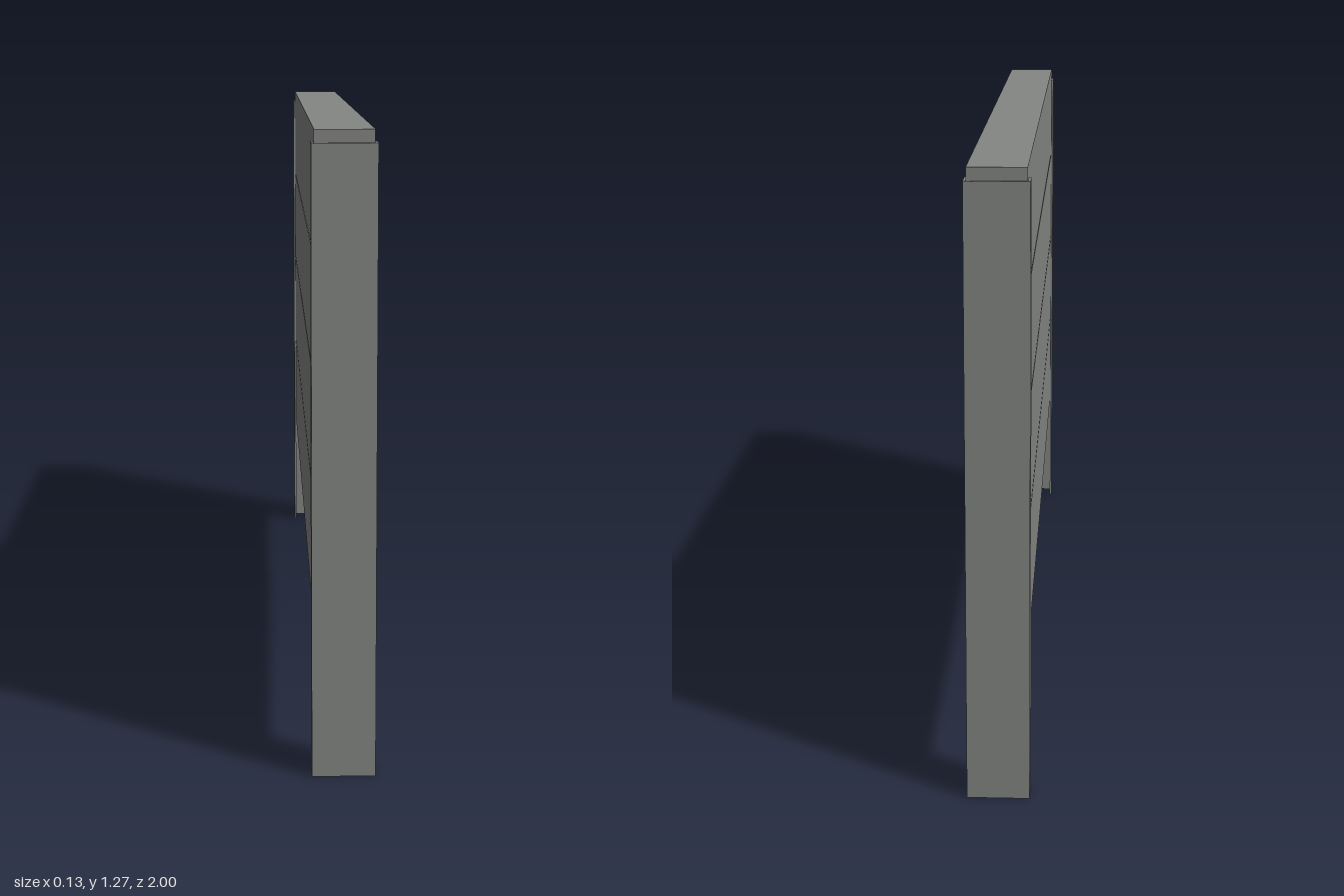
import * as THREE from 'three';

export function createModel() {
  const model = new THREE.Group();
  model.name = 'fencePanel';
  const grey = new THREE.MeshStandardMaterial({ color: 0x848683 });
  grey.name = 'concrete grey';

  // Horizontal planks, separated by narrow open gaps
  const bottom = 0.30, top = 1.27, gap = 0.007, count = 4;
  const height = (top - bottom - gap * (count - 1)) / count;
  for (let i = 0; i < count; i++) {
    const plank = new THREE.Mesh(new THREE.BoxGeometry(0.115, height, 1.982), grey);
    plank.name = `plank${i + 1}`;
    plank.position.y = bottom + height / 2 + i * (height + gap);
    model.add(plank);
  }

  // U-channel end post, open toward the planks; shape is in (x, -z)
  function channelPost(name, turn) {
    const w = 0.063, t = 0.005, outer = -0.9995, inner = -0.943;
    const shape = new THREE.Shape([
      [-w, outer], [w, outer], [w, inner], [w - t, inner],
      [w - t, outer + t], [-w + t, outer + t], [-w + t, inner], [-w, inner],
    ].map(([x, y]) => new THREE.Vector2(x, y)));
    const geometry = new THREE.ExtrudeGeometry(shape, { depth: 1.245, bevelEnabled: false });
    geometry.rotateX(-Math.PI / 2);
    const post = new THREE.Mesh(geometry, grey);
    post.name = name;
    post.rotation.y = turn;
    model.add(post);
  }
  channelPost('frontPost', 0);
  channelPost('backPost', Math.PI);

  // The panel stands very slightly askew
  model.rotation.y = 0.003;
  return model;
}
